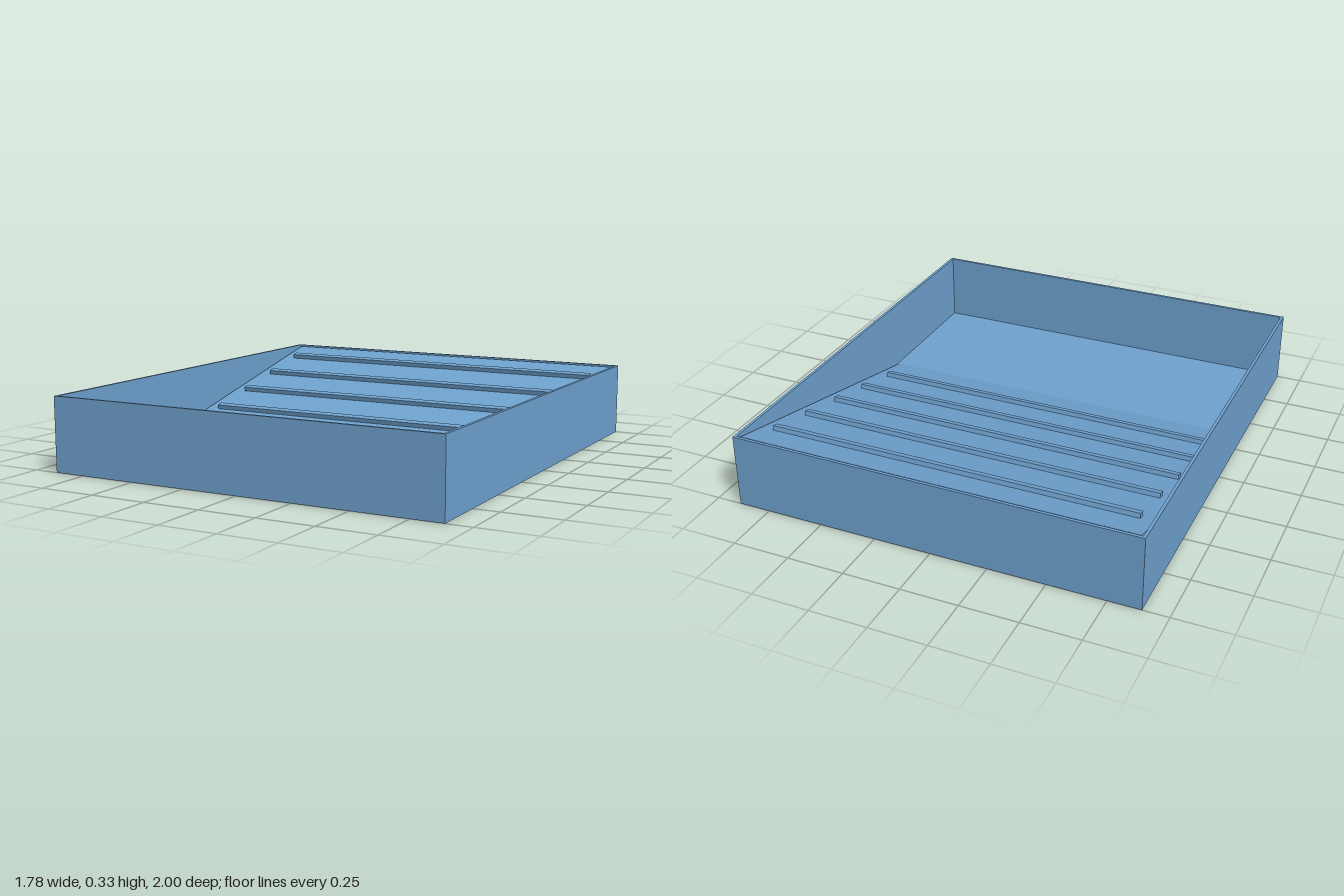
import * as THREE from 'three';

export function createModel() {
  const model = new THREE.Group();
  model.name = 'rampTray';
  const blue = new THREE.MeshStandardMaterial({ color: 0x6fa3d0 });
  blue.name = 'blue';

  const W = 1.78, H = 0.325, D = 2, T = 0.013;

  function box(name, w, h, d, x, y, z, parent = model) {
    const mesh = new THREE.Mesh(new THREE.BoxGeometry(w, h, d), blue);
    mesh.name = name;
    mesh.position.set(x, y, z);
    parent.add(mesh);
    return mesh;
  }

  // Floor and the four thin walls standing on it
  box('floor', W, T, D, 0, T / 2, 0);
  const wallH = H - T, wallY = T + wallH / 2;
  for (const s of [-1, 1]) {
    box(s > 0 ? 'leftWall' : 'rightWall', T, wallH, D, s * (W - T) / 2, wallY, 0);
    box(s > 0 ? 'frontWall' : 'backWall', W - 2 * T, wallH, T, 0, wallY, s * (D - T) / 2);
  }

  // Sloping plate, from the floor up to the top of the back wall
  const low = { y: 0.015, z: 0.35 }, high = { y: 0.318, z: -0.976 };
  const rise = high.y - low.y, run = low.z - high.z;
  const ramp = new THREE.Group();
  ramp.name = 'ramp';
  ramp.position.set(0, low.y, low.z);
  ramp.rotation.x = Math.atan2(rise, run);
  model.add(ramp);
  const length = Math.hypot(rise, run);
  box('rampPlate', 1.735, 0.012, length, 0, -0.006, -length / 2, ramp);

  // Five raised ribs across the slope
  const ribW = 0.031, ribH = 0.02;
  for (let i = 0; i < 5; i++) {
    const backEdge = -0.83 + i * 0.2385;
    const along = (low.z - backEdge) * length / run;
    box('rib' + (i + 1), 1.62, ribH, ribW, 0, ribH / 2, -along + ribW / 2, ramp);
  }
  return model;
}
